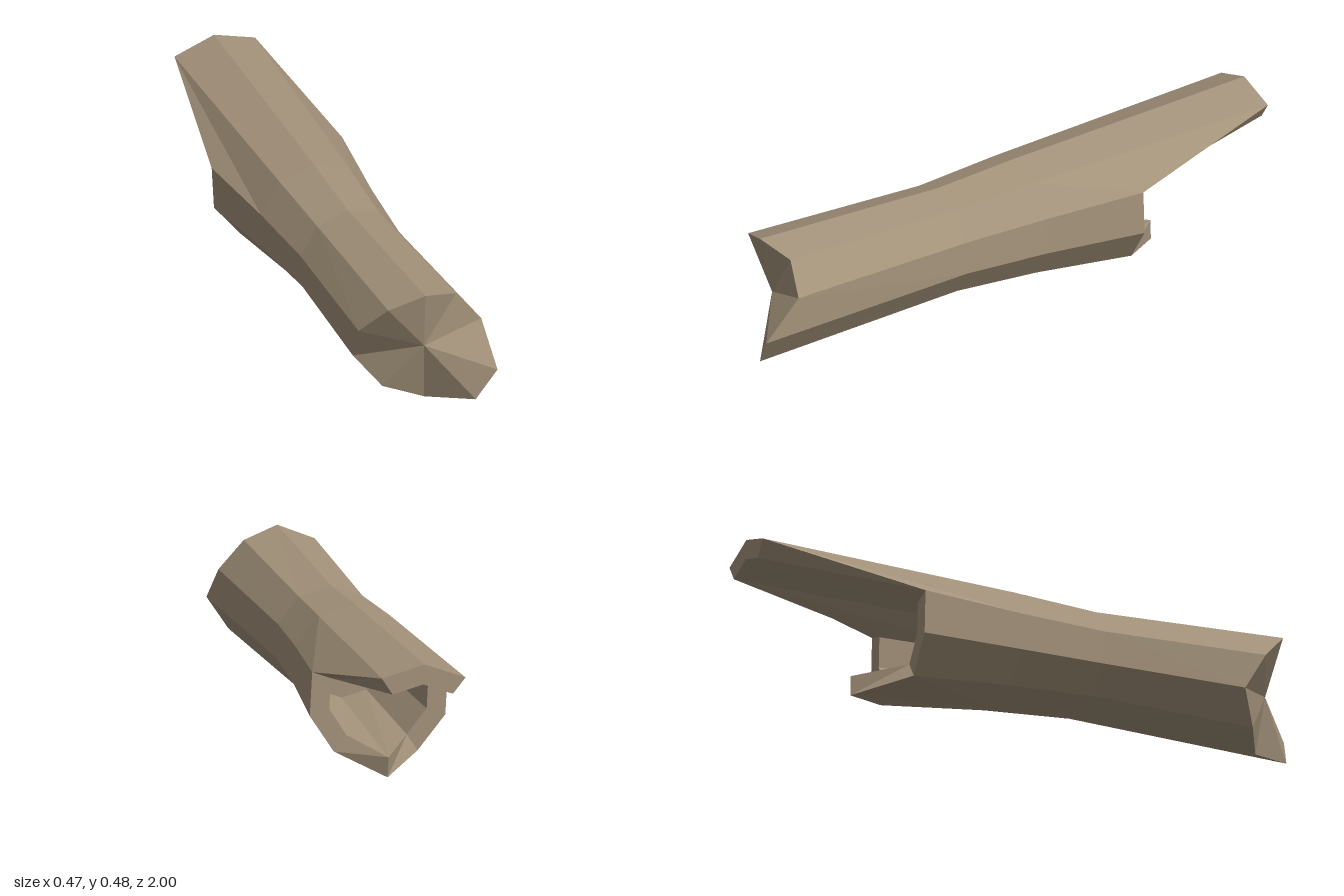
import * as THREE from 'three';

const SIDES = 10;

// One ring of the trunk: z may be a single depth or one depth per side (splintered rims)
function ring(cx, cy, radius, z) {
  return Array.from({ length: SIDES }, (_, i) => {
    const a = (i * 36 - 3.1) * Math.PI / 180;
    return [cx + Math.sin(a) * radius, cy + Math.cos(a) * radius, Array.isArray(z) ? z[i] : z];
  });
}

// Flat-shaded skin between successive rings, listed from the outside front inward
function skin(name, rings, material) {
  const pos = [];
  for (let r = 0; r < rings.length - 1; r++) {
    const a = rings[r], b = rings[r + 1];
    for (let i = 0; i < SIDES; i++) {
      const j = (i + 1) % SIDES;
      const solidA = a[i].join() !== a[j].join();
      const solidB = b[i].join() !== b[j].join();
      if (solidA) pos.push(...a[i], ...a[j], ...b[j]);
      if (solidB) pos.push(...a[i], ...b[j], ...b[i]);
    }
  }
  const geo = new THREE.BufferGeometry();
  geo.setAttribute('position', new THREE.Float32BufferAttribute(pos, 3));
  geo.computeVertexNormals();
  const mesh = new THREE.Mesh(geo, material);
  mesh.name = name;
  return mesh;
}

export function createModel() {
  const group = new THREE.Group();
  group.name = 'hollowLog';
  const wood = new THREE.MeshStandardMaterial({ color: 0xa3927a });
  wood.name = 'weathered wood';
  wood.flatShading = true;

  // Splintered depths of the two ends, clockwise from the top
  const frontZ = [0.89, 0.85, 0.87, 1.0, 0.98, 0.82, 0.76, 0.7, 0.77, 0.86];
  const backZ = [-1, -1, -0.455, -0.455, -0.455, -0.62, -0.455, -0.455, -0.455, -1];

  const frontRim = ring(0.006, 0.253, 0.207, frontZ);
  const backRim = ring(0, 0.243, 0.242, backZ);
  const innerRim = ring(0, 0.243, 0.174, backZ);
  const innerEnd = ring(0, 0.248, 0.14, 0);

  // Solid broken front, fanned from the core
  group.add(skin('brokenFrontEnd', [ring(0.006, 0.253, 0, 0.85), frontRim], wood));
  // Trunk narrowing at the waist and flaring to the back
  group.add(skin('trunk', [frontRim, ring(0, 0.25, 0.184, 0.2), ring(0, 0.248, 0.204, -0.1), backRim], wood));
  // Thickness of the broken back edge
  group.add(skin('backRim', [backRim, innerRim], wood));
  // Inside of the hollow
  group.add(skin('hollow', [innerRim, innerEnd, ring(0, 0.248, 0, 0)], wood));

  return group;
}
